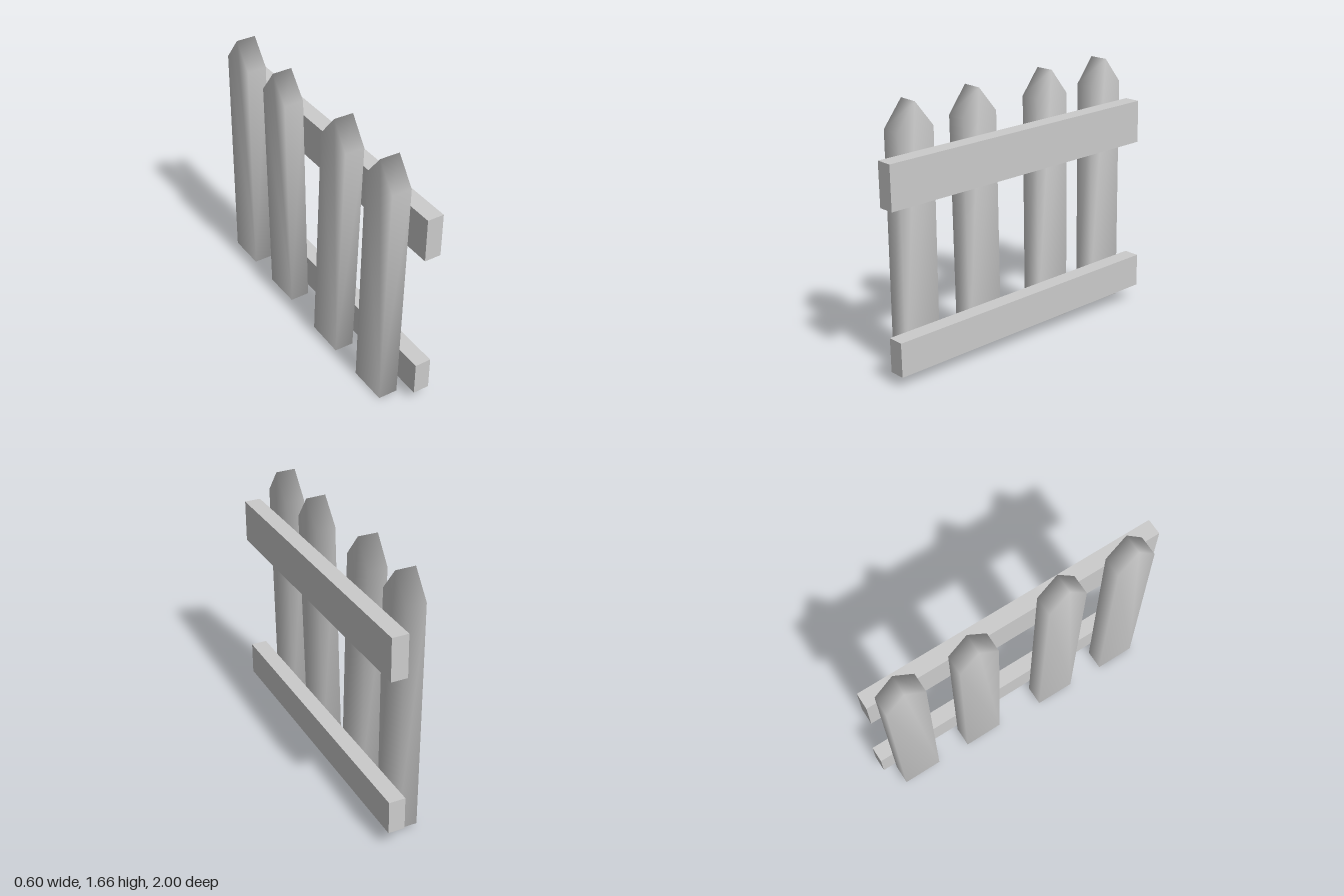
import * as THREE from 'three';
import { mergeVertices } from 'three/addons/utils/BufferGeometryUtils.js';

const YAW = THREE.MathUtils.degToRad(79.2); // the fence runs diagonally, almost along z
const OUT = new THREE.Vector3(Math.sin(YAW), 0, Math.cos(YAW)); // rail side of the fence

const material = new THREE.MeshStandardMaterial({ color: 0xcccccc });

// Pointed board standing on its base, with soft shared normals
function picketGeometry(width, shoulder, peak, depth) {
  const w = width / 2;
  const shape = new THREE.Shape([
    new THREE.Vector2(-w, 0), new THREE.Vector2(w, 0),
    new THREE.Vector2(w, shoulder), new THREE.Vector2(0, peak), new THREE.Vector2(-w, shoulder),
  ]);
  let geo = new THREE.ExtrudeGeometry(shape, { depth, bevelEnabled: false });
  geo.translate(0, 0, -depth / 2);
  geo.deleteAttribute('normal');
  geo.deleteAttribute('uv');
  geo = mergeVertices(geo);
  geo.computeVertexNormals();
  return geo;
}

export function createModel() {
  const fence = new THREE.Group();
  fence.name = 'picketFence';

  // Pickets: base centre, then the lean from base to shoulder
  const geo = picketGeometry(0.252, 1.468, 1.628, 0.125);
  const pickets = [
    { base: [-0.217, 0.006, 0.675], lean: [0.014, 0.03] },
    { base: [-0.12, 0.017, 0.2], lean: [0.012, 0.055] },
    { base: [0.002, 0.027, -0.342], lean: [-0.023, 0] },
    { base: [0.091, 0.036, -0.805], lean: [-0.011, 0.015] },
  ];
  pickets.forEach(({ base, lean }, i) => {
    const up = new THREE.Vector3(lean[0], 1.468, lean[1]).normalize();
    const side = new THREE.Vector3().crossVectors(up, OUT).normalize();
    const out = new THREE.Vector3().crossVectors(side, up);
    const picket = new THREE.Mesh(geo, material);
    picket.name = `picket${i + 1}`;
    picket.position.set(...base);
    picket.quaternion.setFromRotationMatrix(new THREE.Matrix4().makeBasis(side, up, out));
    fence.add(picket);
  });

  // Two slightly sloping rails along the outer side
  const rails = [
    { name: 'topRail', height: 0.272, at: [0.052, 1.23, 0.018] },
    { name: 'bottomRail', height: 0.214, at: [0.062, 0.2, -0.016] },
  ];
  for (const { name, height, at } of rails) {
    const rail = new THREE.Mesh(new THREE.BoxGeometry(1.98, height, 0.104), material);
    rail.name = name;
    rail.position.set(...at);
    rail.rotation.set(0, YAW, THREE.MathUtils.degToRad(1.05), 'YXZ');
    fence.add(rail);
  }
  return fence;
}
